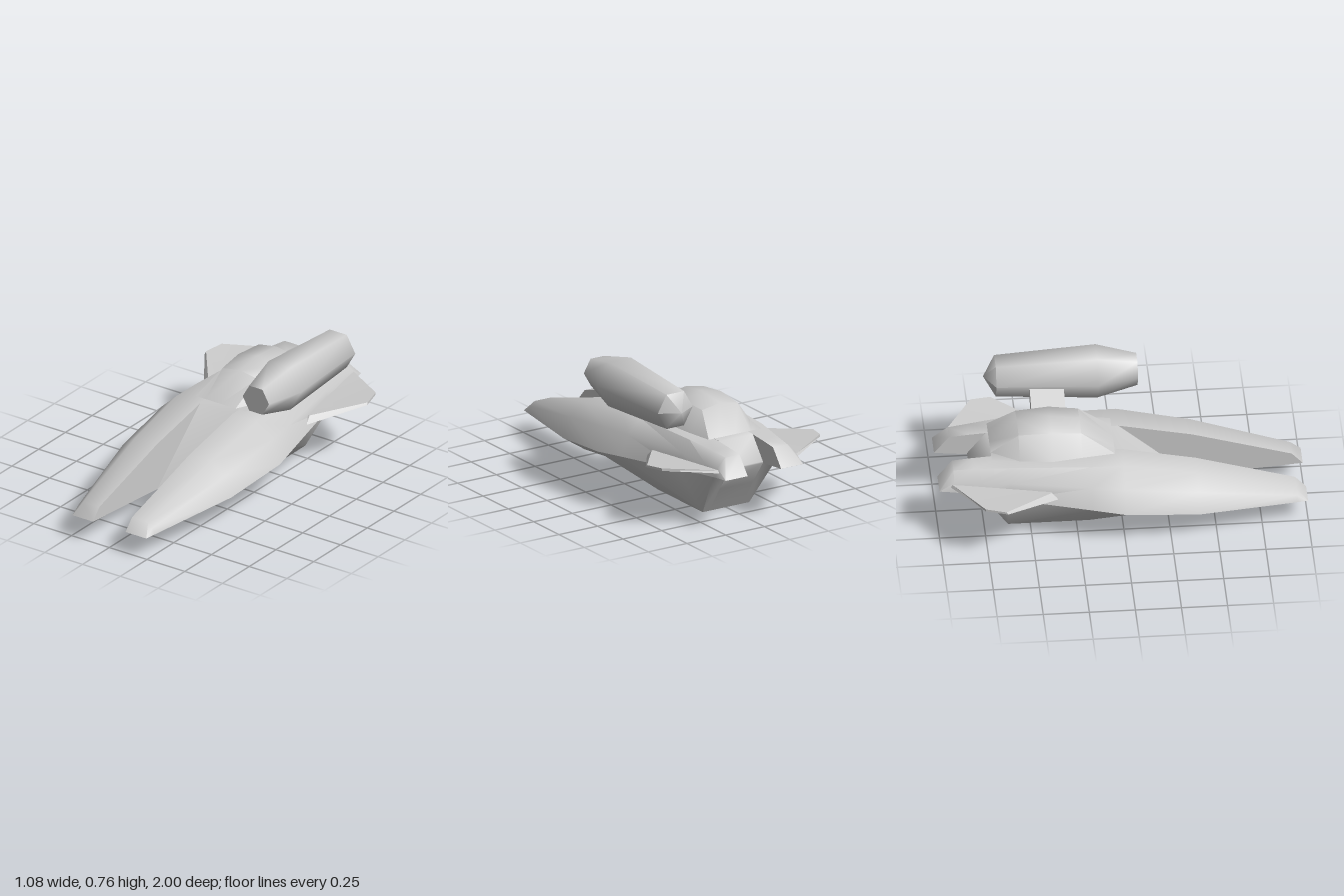
import * as THREE from 'three';
import { toCreasedNormals } from 'three/addons/utils/BufferGeometryUtils.js';

const material = new THREE.MeshStandardMaterial({ color: 0xcccccc });

function part(name, geometry, crease) {
  const mesh = new THREE.Mesh(toCreasedNormals(geometry, crease), material);
  mesh.name = name;
  return mesh;
}

// Skins a row of closed rings of [x, y, z] points, caps both ends and faces it outward.
function loft(rings) {
  let tris = [];
  const add = (...abc) => {
    const [a, b, c] = abc.map((p) => new THREE.Vector3(...p));
    if (b.clone().sub(a).cross(c.clone().sub(a)).length() > 1e-7) tris.push([a, b, c]);
  };
  const n = rings[0].length;
  for (let i = 0; i + 1 < rings.length; i++) {
    const r = rings[i], s = rings[i + 1];
    for (let j = 0; j < n; j++) {
      const k = (j + 1) % n;
      add(r[j], r[k], s[k]);
      add(r[j], s[k], s[j]);
    }
  }
  const last = rings[rings.length - 1];
  for (let j = 1; j + 1 < n; j++) {
    add(rings[0][0], rings[0][j + 1], rings[0][j]);
    add(last[0], last[j], last[j + 1]);
  }
  const volume = tris.reduce((v, [a, b, c]) => v + a.dot(b.clone().cross(c)), 0);
  if (volume < 0) tris = tris.map(([a, b, c]) => [a, c, b]);
  return new THREE.BufferGeometry().setFromPoints(tris.flat());
}

const mirror = (rings, side) => rings.map((r) => r.map(([x, y, z]) => [side * x, y, z]));

export function createModel() {
  const model = new THREE.Group();
  model.name = 'spacecraft';
  const inner = 0.108;

  // Side hulls: z, top x/y, shoulder x/y, widest x/y, bottom x/y
  const hullStations = [
    [1, 0.245, 0.125, 0.245, 0.125, 0.245, 0.125, 0.245, 0.125],
    [0.94, 0.215, 0.19, 0.245, 0.165, 0.26, 0.13, 0.245, 0.12],
    [0.4, 0.25, 0.35, 0.335, 0.28, 0.385, 0.17, 0.245, 0.078],
    [0, 0.265, 0.432, 0.362, 0.34, 0.422, 0.217, 0.26, 0.125],
    [-0.18, 0.263, 0.432, 0.345, 0.35, 0.39, 0.235, 0.15, 0],
    [-0.62, 0.235, 0.432, 0.285, 0.365, 0.31, 0.275, 0.15, 0],
    [-0.81, 0.21, 0.42, 0.262, 0.36, 0.278, 0.297, 0.2, 0.29],
    [-0.92, 0.2, 0.41, 0.25, 0.36, 0.26, 0.306, 0.22, 0.302],
    [-1, 0.25, 0.31, 0.25, 0.31, 0.25, 0.31, 0.25, 0.31],
  ];
  const hull = hullStations.map(([z, tx, ty, sx, sy, wx, wy, bx, by]) => [
    [inner, ty, z], [tx, ty, z], [sx, sy, z], [wx, wy, z], [bx, by, z], [inner, by, z],
  ]);

  // Wings: swept thin plates, lower outline then upper outline
  const wing = [
    [[0.22, 0.275, -0.36], [0.34, 0.285, -0.36], [0.538, 0.343, -0.65], [0.51, 0.35, -0.77], [0.25, 0.335, -0.94], [0.2, 0.33, -0.9]],
    [[0.22, 0.315, -0.4], [0.335, 0.325, -0.4], [0.536, 0.356, -0.66], [0.51, 0.364, -0.77], [0.25, 0.35, -0.93], [0.2, 0.35, -0.9]],
  ];

  for (const [side, label] of [[1, 'left'], [-1, 'right']]) {
    model.add(part(label + 'Hull', loft(mirror(hull, side)), 0.87));
    model.add(part(label + 'Wing', loft(mirror(wing, side)), 0.5));
  }

  // Centre body: front ramp, belly and rear slope as z, top y, bottom y
  const centre = [
    [0.4, 0.078, 0.078], [0, 0.432, 0.125], [-0.18, 0.432, 0],
    [-0.62, 0.432, 0], [-0.72, 0.427, 0.153], [-0.82, 0.3, 0.291],
  ].map(([z, t, b]) => [[-inner, t, z], [inner, t, z], [inner, b, z], [-inner, b, z]]);
  model.add(part('centreBody', loft(centre), 0.87));

  // Canopy: z, base half width, upper half width, upper y, ridge y
  const base = 0.445;
  const canopy = [
    [-0.04, 0.165, 0.1, base, base], [-0.22, 0.19, 0.115, 0.555, 0.575],
    [-0.38, 0.215, 0.125, 0.57, 0.597], [-0.56, 0.195, 0.115, 0.56, 0.58],
    [-0.71, 0.17, 0.1, base, base],
  ].map(([z, w, u, uy, ry]) => [
    [-w, base, z], [-u, uy, z], [0, ry, z], [u, uy, z], [w, base, z],
  ]);
  model.add(part('canopy', loft(canopy), 0.87));

  // Strut that holds the pod above the canopy
  const strut = part('podStrut', new THREE.BoxGeometry(0.24, 0.072, 0.185), 0.5);
  strut.position.set(0.24, 0.573, -0.378);
  strut.rotation.z = Math.PI / 6;
  model.add(strut);

  // Six-sided pod with a flat front and a pointed tail
  const profile = [[0, -0.715], [0.113, -0.65], [0.145, -0.1], [0.087, 0.12], [0, 0.12]]
    .map(([r, z]) => new THREE.Vector2(r, z));
  const podShape = new THREE.LatheGeometry(profile, 6, Math.PI / 2).rotateX(Math.PI / 2);
  const pod = part('pod', podShape, 1.1);
  pod.position.set(0.347, 0.632, 0);
  model.add(pod);

  return model;
}
